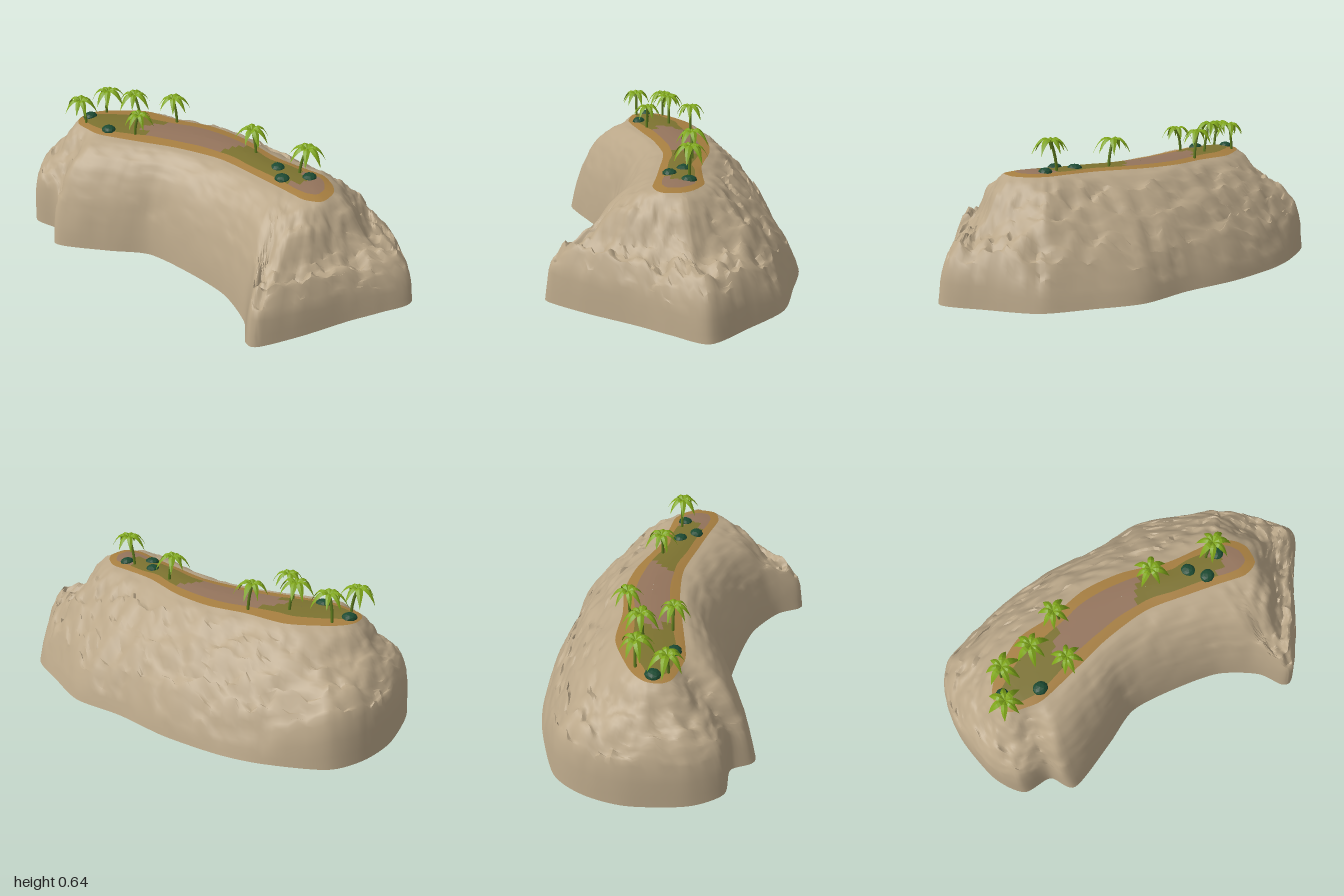
import * as THREE from 'three';
import { toCreasedNormals } from 'three/addons/utils/BufferGeometryUtils.js';

const mat = (name, color) => {
  const m = new THREE.MeshStandardMaterial({ color, side: THREE.DoubleSide });
  m.name = name;
  return m;
};

// Spokes around the island: foot x, z, plateau rim x, z, cliff type
const SPOKES = [
  [-1, -0.05, -0.77, 0, 'left'], [-0.97, -0.24, -0.74, -0.05, 'left'], [-0.88, -0.39, -0.68, -0.1, 'left'],
  [-0.64, -0.51, -0.53, -0.18, 'back'], [-0.45, -0.56, -0.34, -0.19, 'back'], [-0.18, -0.58, -0.16, -0.22, 'back'],
  [0.09, -0.56, 0.03, -0.2, 'back'], [0.34, -0.57, 0.24, -0.13, 'back'], [0.55, -0.49, 0.4, -0.11, 'back'],
  [0.75, -0.4, 0.5, -0.1, 'back'], [0.89, -0.22, 0.57, -0.05, 'right'], [1, -0.05, 0.6, 0, 'right'],
  [0.91, 0.09, 0.6, 0.05, 'right'], [0.81, 0.22, 0.59, 0.09, 'right'], [0.68, 0.41, 0.56, 0.11, 'prong'],
  [0.55, 0.57, 0.51, 0.12, 'prong'], [0.49, 0.57, 0.46, 0.11, 'prong'], [0.42, 0.46, 0.38, 0.09, 'front'],
  [0.25, 0.35, 0.24, 0.06, 'front'], [0.03, 0.3, 0.03, 0.02, 'front'], [-0.21, 0.28, -0.19, 0.04, 'front'],
  [-0.4, 0.36, -0.36, 0.08, 'front'], [-0.65, 0.45, -0.58, 0.13, 'front'], [-0.73, 0.35, -0.67, 0.12, 'left'],
  [-0.87, 0.34, -0.74, 0.1, 'left'], [-0.96, 0.2, -0.77, 0.06, 'left'],
];
// Cliff heights from the rim out to the foot, one curve per type
const T = [0, 0.12, 0.25, 0.4, 0.55, 0.68, 0.8, 0.9, 0.96, 1];
const CLIFF = {
  back: [0.483, 0.463, 0.425, 0.375, 0.315, 0.25, 0.19, 0.12, 0.06, 0],
  front: [0.483, 0.477, 0.46, 0.43, 0.385, 0.325, 0.25, 0.16, 0.08, 0],
  left: [0.483, 0.455, 0.41, 0.365, 0.335, 0.305, 0.27, 0.23, 0.15, 0],
  right: [0.483, 0.455, 0.405, 0.3, 0.255, 0.24, 0.23, 0.18, 0.11, 0],
  prong: [0.483, 0.465, 0.44, 0.385, 0.29, 0.235, 0.265, 0.2, 0.15, 0],
};
const ROUGH = { back: 1, front: 0.3, left: 0.8, right: 1, prong: 0.8 };
const N = 208, RINGS = 30;
const lerp = THREE.MathUtils.lerp;

// Seeded value noise in -1..1
function hash(x, y, z) {
  const s = Math.sin(x * 127.1 + y * 311.7 + z * 74.7) * 43758.5453;
  return (s - Math.floor(s)) * 2 - 1;
}
function noise(x, y, z) {
  const [a, b, c] = [x, y, z].map(Math.floor);
  const [u, v, w] = [x - a, y - b, z - c].map((f) => f * f * (3 - 2 * f));
  const row = (j, k) => lerp(hash(a, b + j, c + k), hash(a + 1, b + j, c + k), u);
  return lerp(lerp(row(0, 0), row(1, 0), v), lerp(row(0, 1), row(1, 1), v), w);
}

function cliffHeight(type, t) {
  let k = 0;
  while (k < T.length - 2 && t > T[k + 1]) k++;
  return lerp(CLIFF[type][k], CLIFF[type][k + 1], (t - T[k]) / (T[k + 1] - T[k]));
}

// Closed skin over a grid of points; keep() can select faces by position
function skin(point, rings, crease, keep = () => true) {
  const pos = [], idx = [];
  for (let j = 0; j <= rings; j++) for (let i = 0; i < N; i++) pos.push(...point(i, j).toArray());
  for (let j = 0; j < rings; j++) for (let i = 0; i < N; i++) {
    const a = j * N + i, b = j * N + (i + 1) % N;
    if (keep(pos[a * 3], pos[a * 3 + 2])) idx.push(a, b, a + N, b, b + N, a + N);
  }
  const g = new THREE.BufferGeometry();
  g.setAttribute('position', new THREE.Float32BufferAttribute(pos, 3));
  g.setIndex(idx);
  return toCreasedNormals(g, crease);
}

// Folded, drooping palm leaf pointing along +x
function leafGeometry() {
  const pos = [], idx = [], steps = 7;
  for (let k = 0; k <= steps; k++) {
    const s = k / steps, y = 0.11 * s - 0.165 * s * s;
    const w = 0.016 * Math.sin(Math.PI * (0.12 + 0.88 * s));
    pos.push(0.088 * s, y - w * 0.5, -w, 0.088 * s, y, 0, 0.088 * s, y - w * 0.5, w);
    if (k < steps) for (const o of [0, 1]) {
      const a = k * 3 + o;
      idx.push(a, a + 1, a + 3, a + 1, a + 4, a + 3);
    }
  }
  const g = new THREE.BufferGeometry();
  g.setAttribute('position', new THREE.Float32BufferAttribute(pos, 3));
  g.setIndex(idx);
  return toCreasedNormals(g, 0.4);
}

export function createModel() {
  const island = new THREE.Group();
  island.name = 'island';
  const rock = mat('rock', 0xb9a688), sand = mat('sand', 0xa67e40), dirt = mat('dirt', 0x94745c);
  const grass = mat('grass', 0x7c7230), leafGreen = mat('leaf', 0x7fa61a);
  const trunkGreen = mat('trunk', 0x5f7d1e), bushGreen = mat('bush', 0x1c4a32);
  const add = (name, geo, material, parent = island) => {
    const m = new THREE.Mesh(geo, material);
    m.name = name;
    parent.add(m);
    return m;
  };

  // Smooth foot and rim loops
  const loop = (o) => new THREE.CatmullRomCurve3(SPOKES.map((s) => new THREE.Vector3(s[o], 0, s[o + 1])), true, 'catmullrom', 0.4);
  const footCurve = loop(0), rimCurve = loop(2);
  const foot = [], rim = [];
  for (let i = 0; i < N; i++) {
    foot.push(footCurve.getPoint(i / N));
    rim.push(rimCurve.getPoint(i / N));
  }

  // Cliffs: heights blended between spokes, then broken up with noise
  const cliffPoint = (i, j) => {
    const t = 1 - Math.pow(1 - j / RINGS, 1.25);
    const f = (i / N) * SPOKES.length, k = Math.floor(f);
    const A = SPOKES[k][4], B = SPOKES[(k + 1) % SPOKES.length][4];
    const p = rim[i].clone().lerp(foot[i], t);
    const h = lerp(cliffHeight(A, t), cliffHeight(B, t), f - k);
    const band = Math.exp(-Math.pow((h - 0.24) / 0.06, 2));
    const rough = lerp(ROUGH[A], ROUGH[B], f - k) + 0.45 * band;
    const fade = Math.min(1, t * 4) * Math.min(1, (1 - t) * 9);
    const jag = noise(p.x * 17, h * 20, p.z * 17) + 0.7 * noise(p.x * 38 + 9, h * 38, p.z * 38);
    const flute = Math.abs(noise(foot[i].x * 13, h * 2.5, foot[i].z * 13));
    p.lerp(rim[i], fade * (0.05 * flute + 0.04 * rough * Math.max(0, jag)));
    p.y = Math.max(0, h + fade * 0.022 * rough * jag);
    return p;
  };
  add('cliffs', skin(cliffPoint, RINGS, 0.75), rock);

  // Domed plateau: a sand border round a centre of dirt and grass
  const spine = new THREE.SplineCurve([[-0.66, 0.03], [-0.4, -0.05], [-0.16, -0.09], [0.03, -0.09], [0.25, -0.03], [0.5, 0.01]]
    .map((p) => new THREE.Vector2(...p))).getPoints(100);
  const nearest = (p) => spine.reduce((b, q) => (Math.abs(q.x - p.x) < Math.abs(b.x - p.x) ? q : b));
  const topPoint = (t, i) => {
    const c = nearest(rim[i]);
    const s = t + (t > 0.05 && t < 0.95 ? 0.13 * noise(rim[i].x * 9, 3, rim[i].z * 9) : 0);
    return new THREE.Vector3(lerp(c.x, rim[i].x, s), 0.483 + 0.014 * (1 - t * t), lerp(c.y, rim[i].z, s));
  };
  const isGrass = (x, z) => {
    const e = x + 0.05 * noise(x * 12, 5, z * 22);
    return e < -0.38 || (e > 0.06 && e < 0.42);
  };
  const centre = (i, j) => topPoint(0.31 * j, i);
  add('sandBorder', skin((i, j) => topPoint(0.62 + 0.19 * j, i), 2, 1), sand);
  add('grassPatches', skin(centre, 2, 1, isGrass), grass);
  add('dirtPath', skin(centre, 2, 1, (x, z) => !isGrass(x, z)), dirt);

  // Palms: x, z, crown height, lean
  const leaf = leafGeometry();
  const palms = [[-0.68, -0.06, 0.608, 0.01], [-0.72, 0.08, 0.6, -0.012], [-0.5, -0.07, 0.625, -0.015], [-0.42, 0.05, 0.6, 0.014],
    [-0.34, -0.16, 0.61, -0.01], [0.14, -0.1, 0.606, -0.012], [0.42, -0.05, 0.625, 0.015]];
  palms.forEach(([x, z, top, lean], n) => {
    const palm = new THREE.Group();
    palm.name = 'palm';
    palm.position.set(x, 0, z);
    const path = new THREE.QuadraticBezierCurve3(new THREE.Vector3(-lean, 0.475, 0),
      new THREE.Vector3(-lean, 0.55, 0), new THREE.Vector3(lean, top, 0));
    add('trunk', new THREE.TubeGeometry(path, 6, 0.0065, 6), trunkGreen, palm);
    for (let k = 0; k < 7; k++) {
      const m = add('leaf', leaf, leafGreen, palm);
      m.position.set(lean, top, 0);
      m.rotation.y = n * 1.3 + (k / 7) * Math.PI * 2 + 0.2 * hash(n, k, 1);
      m.scale.setScalar(0.92 + 0.12 * hash(n, k, 2));
    }
    island.add(palm);
  });

  // Low faceted bushes
  const bushGeo = toCreasedNormals(new THREE.IcosahedronGeometry(0.036, 1), 0.2);
  [[-0.57, 0.08], [-0.73, 0.02], [0.3, -0.04], [0.36, 0.03], [0.46, -0.04]].forEach(([x, z], n) => {
    const b = add('bush', bushGeo, bushGreen);
    b.position.set(x, 0.49, z);
    b.scale.set(1, 0.62, 0.9);
    b.rotation.y = n * 1.1;
  });
  return island;
}
